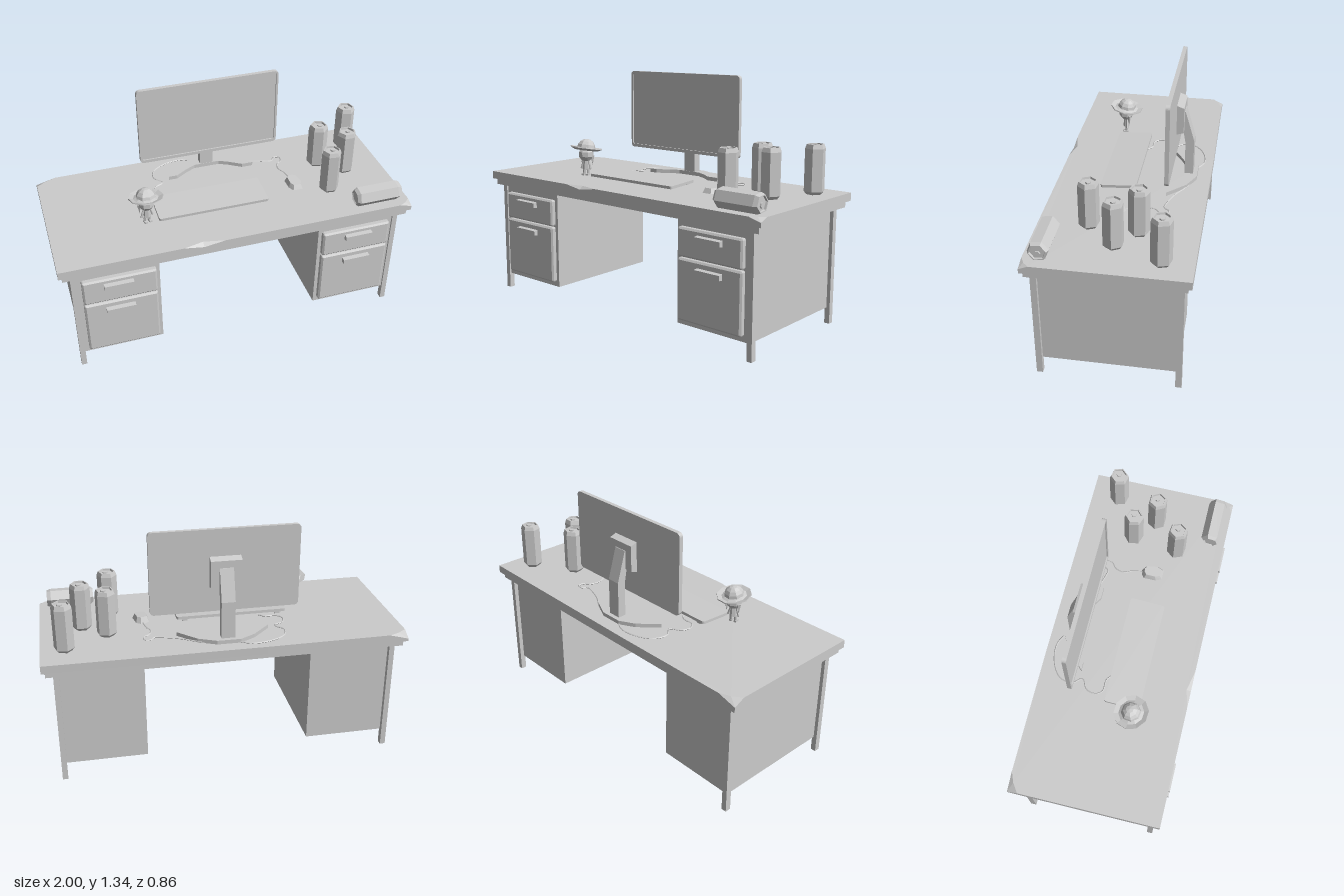
import * as THREE from 'three';

const mat = new THREE.MeshStandardMaterial({ color: 0xcccccc, flatShading: true, side: THREE.DoubleSide });
const TOP = 0.735; // height of the work surface

function add(parent, name, geo, x = 0, y = 0, z = 0) {
  const m = new THREE.Mesh(geo, mat);
  m.name = name;
  m.position.set(x, y, z);
  parent.add(m);
  return m;
}

function group(parent, name, x = 0, y = 0, z = 0) {
  const g = new THREE.Group();
  g.name = name;
  g.position.set(x, y, z);
  parent.add(g);
  return g;
}

// box given by its limits
function span(parent, name, x0, x1, y0, y1, z0, z1) {
  return add(parent, name, new THREE.BoxGeometry(x1 - x0, y1 - y0, z1 - z0),
    (x0 + x1) / 2, (y0 + y1) / 2, (z0 + z1) / 2);
}

function polygon(points) {
  return new THREE.Shape(points.map(p => new THREE.Vector2(p[0], p[1])));
}

function roundRect(w, h, r) {
  const s = new THREE.Shape();
  const corners = [[1, -1, -1], [1, 1, 0], [-1, 1, 1], [-1, -1, 2]];
  for (const [sx, sy, q] of corners) {
    s.absarc(sx * (w / 2 - r), sy * (h / 2 - r), r, q * Math.PI / 2, (q + 1) * Math.PI / 2);
  }
  return s;
}

const extrude = (shape, depth) => new THREE.ExtrudeGeometry(shape, { depth, bevelEnabled: false, curveSegments: 3 });

// flat plate from [x, z] points, rising from y = 0
const plate = (pts, h) => extrude(polygon(pts.map(([x, z]) => [x, -z])), h).rotateX(-Math.PI / 2);

// side profile from [z, y] points, centred on x = 0
const sideProfile = (pts, w) => extrude(polygon(pts), w).rotateY(-Math.PI / 2).translate(w / 2, 0, 0);

// board whose upper edge is chipped: rows are x, z, inset x, inset z, drop
function chippedBoard(rows, y0, y1) {
  const n = rows.length, pos = [], idx = [];
  for (const [x, z] of rows) pos.push(x, y0, z);
  for (const [x, z, , , d] of rows) pos.push(x, y1 - d, z);
  for (const [x, z, ix, iz] of rows) pos.push(x + ix, y1, z + iz);
  for (let k = 0; k < 2; k++) {
    for (let i = 0; i < n; i++) {
      const a = k * n + i, b = k * n + (i + 1) % n;
      idx.push(a, b, b + n, a, b + n, a + n);
    }
  }
  const cap = (off, flip) => {
    const c = rows.map(r => new THREE.Vector2(r[0] + (off ? r[2] : 0), -r[1] - (off ? r[3] : 0)));
    for (const [a, b, d] of THREE.ShapeUtils.triangulateShape(c, [])) {
      idx.push(a + off, (flip ? d : b) + off, (flip ? b : d) + off);
    }
  };
  cap(0, true);
  cap(2 * n, false);
  const g = new THREE.BufferGeometry();
  g.setAttribute('position', new THREE.Float32BufferAttribute(pos, 3));
  g.setIndex(idx);
  const out = g.toNonIndexed();
  out.computeVertexNormals();
  return out;
}

function buildDesk(root) {
  const desk = group(root, 'desk');
  add(desk, 'tabletop', chippedBoard([
    [-1, 0.42, 0, 0, 0], [-0.33, 0.42, 0, 0, 0], [-0.22, 0.42, 0, -0.025, 0.018], [-0.1, 0.42, 0, 0, 0],
    [0.93, 0.42, 0, 0, 0], [1, 0.42, -0.03, -0.02, 0.02], [1, 0.37, 0, 0, 0],
    [1, -0.425, 0, 0, 0], [-0.2, -0.43, 0, 0, 0], [-0.89, -0.425, 0, 0, 0],
    [-1, -0.425, 0.05, 0.025, 0.03], [-1, -0.365, 0, 0, 0],
  ], 0.69, TOP));

  // hollow frame below the top
  const frame = roundRect(1.96, 0.81, 0.001);
  frame.holes.push(roundRect(1.88, 0.73, 0.001));
  add(desk, 'underFrame', extrude(frame, 0.037).rotateX(-Math.PI / 2), 0, 0.655, 0);

  for (const s of [-1, 1]) {
    const side = group(desk, s > 0 ? 'leftPedestal' : 'rightPedestal');
    const box = (name, a, b, ...r) => span(side, name, Math.min(s * a, s * b), Math.max(s * a, s * b), ...r);
    box('cabinet', 0.46, 0.92, 0.09, 0.69, -0.36, 0.375);
    box('frontLeg', 0.91, 0.94, 0, 0.69, 0.352, 0.385);
    box('backLeg', 0.91, 0.94, 0, 0.69, -0.385, -0.352);
    for (const [y0, y1, hy] of [[0.46, 0.615, 0.572], [0.12, 0.453, 0.403]]) {
      const front = new THREE.ExtrudeGeometry(roundRect(0.385, y1 - y0 - 0.02, 0.001),
        { depth: 0.022, bevelEnabled: true, bevelSegments: 1, bevelSize: 0.01, bevelThickness: 0.008, curveSegments: 1 });
      add(side, 'drawerFront', front, s * 0.683, (y0 + y1) / 2, 0.375);
      // handle tapers towards its outer face
      add(side, 'drawerHandle', sideProfile([[0.395, -0.018], [0.43, -0.013], [0.43, 0.013], [0.395, 0.018]], 0.16),
        s * 0.69, hy, 0);
    }
  }
}

function buildMonitor(root) {
  const mon = group(root, 'monitor', -0.003, 0, 0);
  const rim = roundRect(0.82, 0.465, 0.022);
  const opening = new THREE.Path(roundRect(0.796, 0.435, 0.012).getPoints(3).map(p => new THREE.Vector2(p.x, p.y + 0.003)));
  rim.holes.push(opening);
  add(mon, 'bezel', extrude(rim, 0.012), 0, 1.112, -0.222);
  add(mon, 'screenPanel', extrude(roundRect(0.82, 0.465, 0.022), 0.015), 0, 1.112, -0.233);
  add(mon, 'rearMount', sideProfile([[-0.23, 1.02], [-0.23, 1.195], [-0.272, 1.18], [-0.272, 1.033]], 0.17));
  add(mon, 'standArm', sideProfile([[-0.265, 1.14], [-0.276, 1.14], [-0.328, 0.965], [-0.328, TOP],
    [-0.28, TOP], [-0.28, 0.95], [-0.265, 1.03]], 0.076));
  // crescent foot
  add(mon, 'standFoot', plate([[-0.25, -0.205], [-0.2, -0.205], [-0.13, -0.25], [-0.075, -0.278], [0.075, -0.278],
    [0.13, -0.25], [0.2, -0.205], [0.265, -0.205], [0.165, -0.305], [0.065, -0.352],
    [-0.065, -0.352], [-0.15, -0.305]], 0.022), 0, TOP, 0);
}

function cable(parent, name, pts) {
  const path = new THREE.CatmullRomCurve3(pts.map(([x, z, y = TOP + 0.004]) => new THREE.Vector3(x, y, z)));
  add(parent, name, new THREE.TubeGeometry(path, 50, 0.004, 4));
}

function buildInputs(root) {
  const kb = group(root, 'keyboard', -0.083, TOP + 0.015, 0.065);
  kb.rotation.x = 0.06;
  add(kb, 'keyboardPlate', extrude(roundRect(0.635, 0.2, 0.012), 0.016).rotateX(-Math.PI / 2), 0, -0.005, 0);
  for (const s of [-1, 1]) add(kb, 'keyboardFoot', new THREE.BoxGeometry(0.03, 0.02, 0.012), s * 0.27, -0.011, -0.08);
  cable(root, 'keyboardCable', [[-0.24, -0.03], [-0.27, -0.055], [-0.34, -0.06], [-0.365, -0.1], [-0.35, -0.15],
    [-0.295, -0.185], [-0.335, -0.24], [-0.32, -0.31], [-0.24, -0.365], [-0.13, -0.38], [-0.05, -0.34], [0, -0.31]]);

  // mouse as a low hull narrowing upwards
  const outline = [[-0.03, 0.055], [-0.043, 0.02], [-0.035, -0.05], [-0.01, -0.065], [0.015, -0.065],
    [0.038, -0.045], [0.043, 0.03], [0.025, 0.062]];
  const mouse = plate(outline, 0.03);
  const p = mouse.attributes.position;
  for (let i = 0; i < p.count; i++) {
    if (p.getY(i) > 0.01) p.setXYZ(i, p.getX(i) * 0.75, 0.03 - p.getZ(i) * 0.06, p.getZ(i) * 0.75);
  }
  const m = add(root, 'mouse', mouse, 0.43, TOP, 0.05);
  m.rotation.y = 0.12;
  cable(root, 'mouseCable', [[0.425, -0.01], [0.415, -0.07], [0.395, -0.12], [0.41, -0.17], [0.44, -0.195],
    [0.44, -0.235], [0.41, -0.24], [0.385, -0.21], [0.35, -0.215], [0.25, -0.25], [0.12, -0.32], [0.02, -0.31]]);
}

function buildCans(root) {
  const profile = [[0, 0.006], [0.036, 0.006], [0.042, 0], [0.056, 0.017], [0.056, 0.245], [0.048, 0.268],
    [0.042, 0.268], [0.04, 0.257], [0, 0.257]].map(q => new THREE.Vector2(...q));
  const can = (x, y, z, turn) => {
    const g = group(root, 'drinkCan', x, y, z);
    g.rotation.y = turn;
    add(g, 'canBody', new THREE.LatheGeometry(profile, 6));
    add(g, 'pullTab', new THREE.CylinderGeometry(0.015, 0.015, 0.008, 6), 0.008, 0.263, 0);
    return g;
  };
  can(0.87, TOP, -0.26, 0.3);
  can(0.635, TOP, -0.115, 0.2);
  can(0.765, TOP, -0.005, 0.5);
  can(0.605, TOP, 0.15, 0.4);
  const fallen = can(0.683, TOP + 0.05, 0.335, 0);
  fallen.rotation.set(0, 0.15, -Math.PI / 2, 'ZYX');
}

function buildFigurine(root) {
  const f = group(root, 'figurine', -0.463, TOP, 0.135);
  f.rotation.y = 0.25;
  add(f, 'head', new THREE.SphereGeometry(0.046, 8, 5), 0, 0.128, 0);
  add(f, 'torso', new THREE.CylinderGeometry(0.016, 0.021, 0.055, 6), 0, 0.064, 0);
  for (const s of [-1, 1]) {
    add(f, 'leg', new THREE.CylinderGeometry(0.01, 0.008, 0.045, 5), s * 0.013, 0.022, 0);
    add(f, 'foot', new THREE.BoxGeometry(0.015, 0.01, 0.028), s * 0.014, 0.005, 0.006);
    add(f, 'arm', new THREE.CylinderGeometry(0.006, 0.007, 0.055, 5), s * 0.025, 0.064, 0).rotation.z = s * 0.3;
    add(f, 'hairLock', new THREE.ConeGeometry(0.013, 0.06, 4), s * 0.037, 0.09, -0.012).rotation.x = Math.PI;
  }
  // wide hat tipped up at the front
  const hat = group(f, 'hat', 0, 0.155, 0);
  hat.rotation.set(-0.15, 0, -0.06);
  const brim = new THREE.LatheGeometry([[0.04, 0.01], [0.07, -0.004], [0.097, 0.008], [0.096, 0.014],
    [0.07, 0.006], [0.04, 0.018]].map(q => new THREE.Vector2(...q)), 10);
  add(hat, 'hatBrim', brim);
  add(hat, 'hatCrown', new THREE.SphereGeometry(0.056, 8, 4, 0, Math.PI * 2, 0, Math.PI / 2), 0, 0.008, 0);
}

export function createModel() {
  const root = new THREE.Group();
  root.name = 'deskSetup';
  buildDesk(root);
  buildMonitor(root);
  buildInputs(root);
  buildCans(root);
  buildFigurine(root);
  return root;
}
